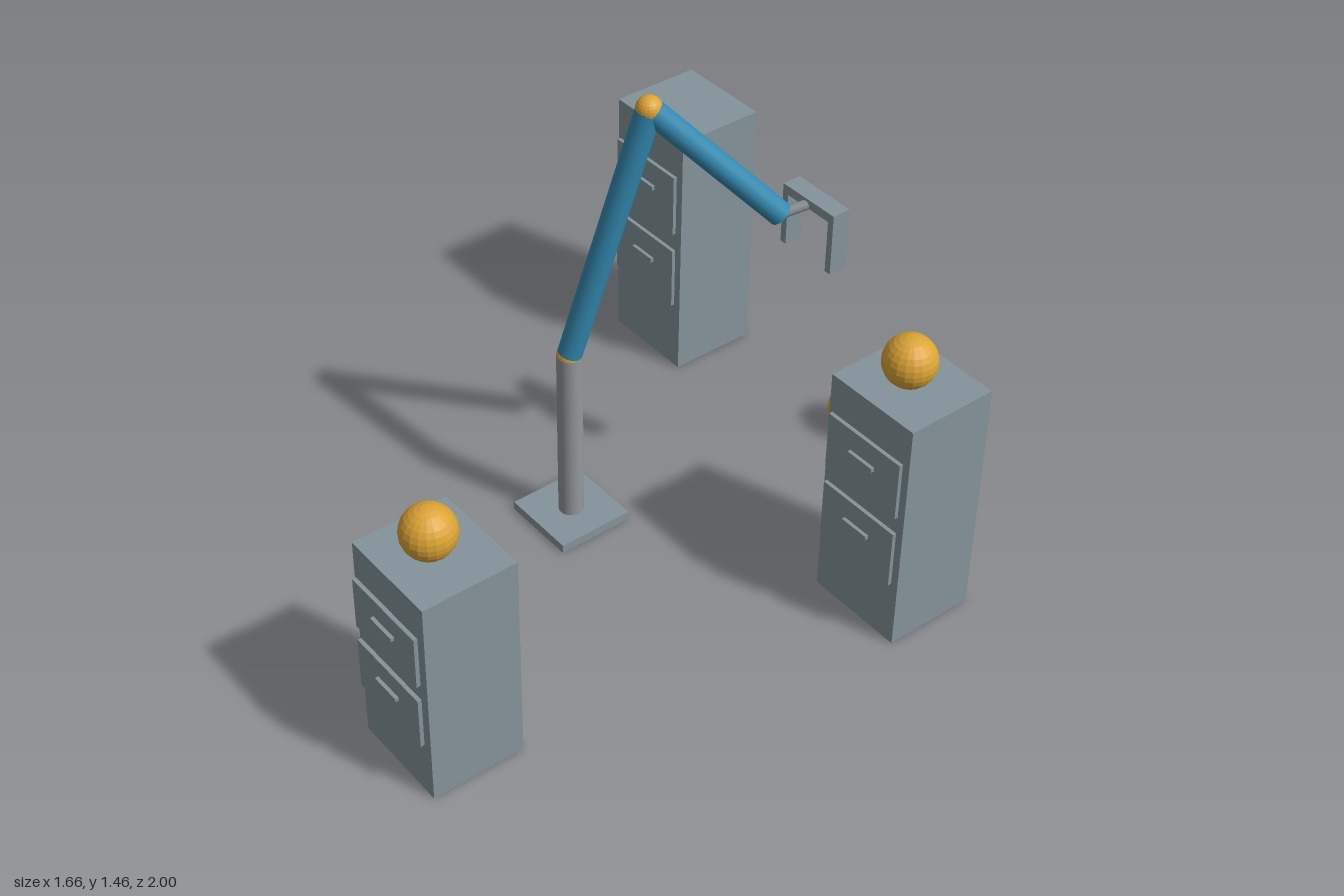
import * as THREE from 'three';

function material(name, color, flatShading = false) {
  const m = new THREE.MeshStandardMaterial({ color });
  m.name = name;
  m.flatShading = flatShading;
  return m;
}

export function createModel() {
  const steel = material('blue grey steel', 0x84949a);
  const pipe = material('light grey metal', 0x92989b);
  const blue = material('blue paint', 0x3389b0);
  const orange = material('orange', 0xdca435, true);
  const model = new THREE.Group();

  function box(parent, name, size, pos, mat = steel) {
    const mesh = new THREE.Mesh(new THREE.BoxGeometry(...size), mat);
    mesh.name = name;
    mesh.position.set(...pos);
    parent.add(mesh);
  }

  function ball(name, radius, pos) {
    const mesh = new THREE.Mesh(new THREE.SphereGeometry(radius, 20, 14), orange);
    mesh.name = name;
    mesh.position.set(...pos);
    model.add(mesh);
  }

  // Cylinder running between two points
  function rod(name, from, to, radius, mat) {
    const a = new THREE.Vector3(...from), b = new THREE.Vector3(...to);
    const dir = b.clone().sub(a);
    const mesh = new THREE.Mesh(new THREE.CylinderGeometry(radius, radius, dir.length(), 20), mat);
    mesh.name = name;
    mesh.position.copy(a).add(b).multiplyScalar(0.5);
    mesh.quaternion.setFromUnitVectors(new THREE.Vector3(0, 1, 0), dir.normalize());
    model.add(mesh);
  }

  // Filing cabinets: body with two drawer fronts and handles, scaled by height
  function cabinet(name, x, z, h) {
    const g = new THREE.Group();
    g.name = name;
    g.position.set(x, 0, z);
    box(g, 'body', [0.316, h, 0.29], [0, h / 2, 0]);
    for (const f of [0.408, 0.727]) {
      box(g, 'drawerFront', [0.28, 0.244 * h, 0.012], [0, f * h, 0.158]);
      box(g, 'drawerHandle', [0.095, 0.017 * h, 0.011], [0, (f + 0.026) * h, 0.1695]);
    }
    model.add(g);
  }
  cabinet('tallCabinet', -0.673, -0.832, 0.86);
  cabinet('middleCabinet', 0.67, -0.52, 0.77);
  cabinet('lowCabinet', 0.358, 0.825, 0.68);

  // Loose balls
  ball('floorBall', 0.078, [0.056, 0.084, -0.922]);
  ball('middleCabinetBall', 0.078, [0.668, 0.85, -0.507]);
  ball('lowCabinetBall', 0.078, [0.358, 0.76, 0.839]);

  // Robot arm
  const shoulder = [-0.158, 0.605, 0.013];
  const elbow = [-0.038, 1.418, -0.17];
  const wrist = [0.163, 1.062, -0.475];
  box(model, 'basePlate', [0.245, 0.028, 0.245], [-0.158, 0.014, 0.013]);
  rod('column', [-0.158, 0.028, 0.013], shoulder, 0.038, pipe);
  ball('shoulderJoint', 0.038, shoulder);
  rod('upperArm', shoulder, elbow, 0.037, blue);
  ball('elbowJoint', 0.038, elbow);
  rod('forearm', elbow, wrist, 0.036, blue);
  rod('wristLink', wrist, [0.212, 1.097, -0.552], 0.015, pipe);

  // Gripper: crossbar with two hanging fingers
  const gripper = new THREE.Group();
  gripper.name = 'gripper';
  gripper.position.set(0.212, 1.098, -0.559);
  box(gripper, 'crossbar', [0.206, 0.028, 0.058], [0, 0, 0]);
  for (const s of [-1, 1]) {
    box(gripper, 'finger', [0.021, 0.164, 0.058], [s * 0.0925, -0.096, 0]);
  }
  model.add(gripper);

  return model;
}
